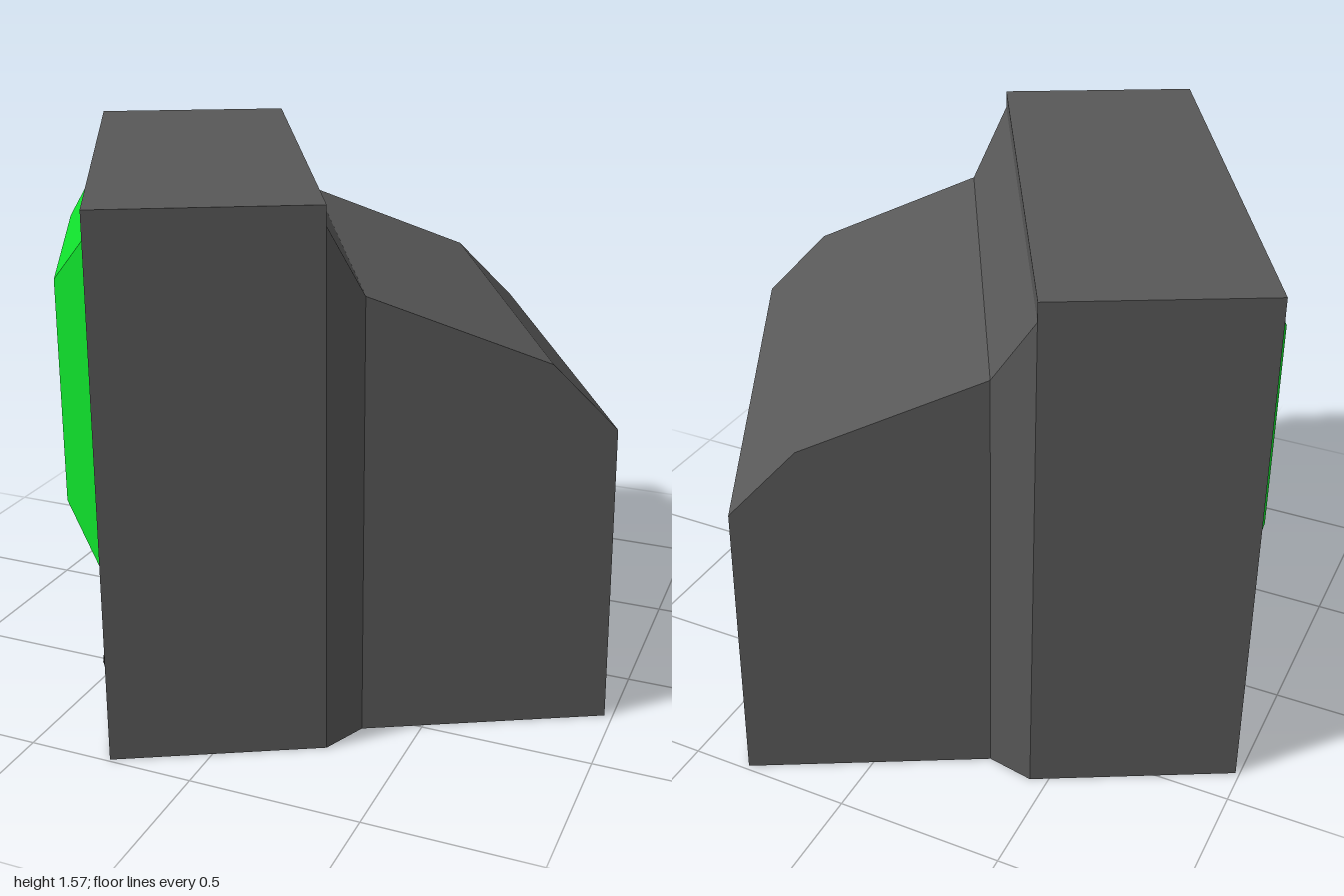
import * as THREE from 'three';

const CX = -0.025; // centre line of the monitor in its own turned frame

// Joins rectangular rings [z, halfWidth, bottom, top], listed front to back.
// An optional cap closes the first ring, facing +z.
function loft(rings, cap) {
  const pos = [];
  const corners = rings.map(([z, w, b, t]) => [
    [CX - w, b, z], [CX + w, b, z], [CX + w, t, z], [CX - w, t, z],
  ]);
  const quad = (a, b, c, d) => pos.push(...a, ...b, ...c, ...a, ...c, ...d);
  if (cap) quad(...corners[0]);
  for (let i = 0; i + 1 < corners.length; i++) {
    const p = corners[i], q = corners[i + 1];
    for (let j = 0; j < 4; j++) {
      const k = (j + 1) % 4;
      quad(p[j], q[j], q[k], p[k]);
    }
  }
  const geo = new THREE.BufferGeometry();
  geo.setAttribute('position', new THREE.Float32BufferAttribute(pos, 3));
  geo.computeVertexNormals();
  return geo;
}

function rectPoints(w, b, t) {
  return [[CX - w, b], [CX + w, b], [CX + w, t], [CX - w, t]]
    .map(([x, y]) => new THREE.Vector2(x, y));
}

export function createModel() {
  const group = new THREE.Group();
  const monitor = new THREE.Group();
  monitor.name = 'monitor';
  monitor.rotation.y = -1.0815; // the screen is turned towards the right
  group.add(monitor);

  const mat = (color) => new THREE.MeshStandardMaterial({ color, flatShading: true });
  const casing = mat(0x585858), green = mat(0x10e02c);
  const black = mat(0x101010), grey = mat(0xcccccc);

  const add = (name, geo, material, parent = monitor) => {
    const mesh = new THREE.Mesh(geo, material);
    mesh.name = name;
    parent.add(mesh);
    return mesh;
  };

  // Casing: square front slab, chamfered step, rear housing sloping to the back
  add('casing', loft([
    [0.69, 0.782, 0, 1.565],
    [0.08, 0.782, 0, 1.565],
    [0.08, 0.782, 0, 1.51],
    [-0.032, 0.692, 0, 1.30],
    [-0.544, 0.692, 0, 1.095],
    [-0.734, 0.692, 0, 0.90],
    [-0.752, 0.692, 0, 0],
  ]), casing);

  // Front face with an opening for the controls
  const face = new THREE.Shape(rectPoints(0.782, 0, 1.565));
  face.holes.push(new THREE.Path(rectPoints(0.656, 0.13, 0.30)));
  add('frontFace', new THREE.ShapeGeometry(face), casing).position.z = 0.69;

  // Shallow control recess with sloping walls
  add('controlRecess', loft([
    [0.668, 0.641, 0.145, 0.287],
    [0.69, 0.656, 0.13, 0.30],
  ], true), casing);

  // Raised screen with bevelled borders
  add('screen', loft([
    [0.795, 0.399, 0.63, 1.29],
    [0.69, 0.575, 0.465, 1.455],
  ], true), green);

  // Controls: three black knob clusters and one faceted grey knob
  const controls = new THREE.Group();
  controls.name = 'controls';
  monitor.add(controls);
  const knobGeo = new THREE.SphereGeometry(0.055, 10, 6);
  const clusters = [[-0.54, 0.06], [0.11, 0.06], [0.53, 0.045]];
  for (const [x, step] of clusters) {
    for (let i = -1; i <= 1; i++) {
      const knob = add('blackKnob', knobGeo, black, controls);
      knob.position.set(x + i * step, 0.22, 0.665);
      knob.scale.z = 0.75;
    }
  }
  const greyKnob = add('greyKnob', new THREE.IcosahedronGeometry(0.06, 1), grey, controls);
  greyKnob.position.set(-0.215, 0.22, 0.665);
  greyKnob.scale.z = 0.7;

  return group;
}
